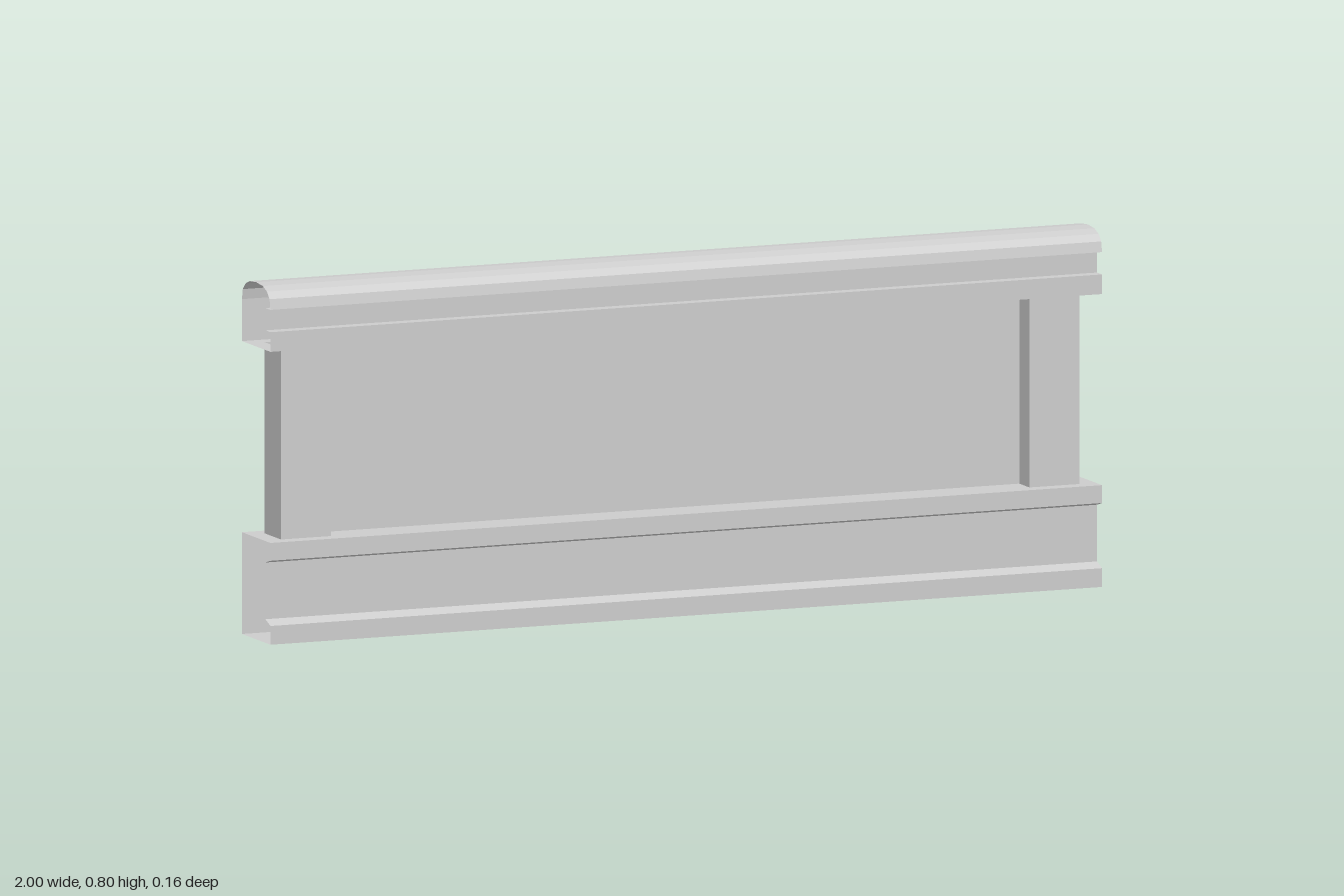
import * as THREE from 'three';

const material = new THREE.MeshStandardMaterial({
  color: 0xcccccc, flatShading: true, side: THREE.DoubleSide,
});
const HALF = 1;            // half length of the rails
const POST_X = 0.9;        // post centre
const POST_W = 0.12, POST_D = 0.092;
const LOW = 0.228, HIGH = 0.656;   // faces of the rails that meet the posts

function addMesh(parent, name, geometry) {
  const mesh = new THREE.Mesh(geometry, material);
  mesh.name = name;
  parent.add(mesh);
  return mesh;
}

// Thin sheet that sweeps an open [z, y] profile along x
function sheet(profile) {
  const pos = [];
  for (let i = 0; i + 1 < profile.length; i++) {
    const [z0, y0] = profile[i], [z1, y1] = profile[i + 1];
    const a = [-HALF, y0, z0], b = [HALF, y0, z0];
    const c = [HALF, y1, z1], d = [-HALF, y1, z1];
    pos.push(...a, ...b, ...c, ...a, ...c, ...d);
  }
  const geometry = new THREE.BufferGeometry();
  geometry.setAttribute('position', new THREE.Float32BufferAttribute(pos, 3));
  geometry.computeVertexNormals();
  return geometry;
}

function rectangle(path, cx, w, d) {
  path.moveTo(cx - w / 2, -d / 2);
  path.lineTo(cx + w / 2, -d / 2);
  path.lineTo(cx + w / 2, d / 2);
  path.lineTo(cx - w / 2, d / 2);
  path.closePath();
  return path;
}

// Flat rail face, open where the hollow posts join it
function plate(y) {
  const shape = rectangle(new THREE.Shape(), 0, HALF * 2, 0.16);
  for (const s of [-1, 1]) {
    shape.holes.push(rectangle(new THREE.Path(), s * POST_X, POST_W, POST_D));
  }
  return new THREE.ShapeGeometry(shape).rotateX(-Math.PI / 2).translate(0, y, 0);
}

// Hollow post: four walls without end caps
function postWalls() {
  const h = HIGH - LOW;
  const box = new THREE.BoxGeometry(POST_W, h, POST_D).toNonIndexed();
  const pos = Array.from(box.attributes.position.array);
  pos.splice(12 * 3, 12 * 3);     // drop top and bottom
  const geometry = new THREE.BufferGeometry();
  geometry.setAttribute('position', new THREE.Float32BufferAttribute(pos, 3));
  geometry.computeVertexNormals();
  return geometry.translate(0, LOW + h / 2, 0);
}

export function createModel() {
  const group = new THREE.Group();
  group.name = 'railingSection';

  // Bottom rail: hollow channel with a shallow groove along the front
  const bottomRail = new THREE.Group();
  bottomRail.name = 'bottomRail';
  addMesh(bottomRail, 'bottomRailChannel', sheet([
    [0.08, LOW], [0.08, 0.188], [0.052, 0.18], [0.052, 0.053],
    [0.08, 0.042], [0.08, 0], [-0.08, 0], [-0.08, LOW],
  ]));
  addMesh(bottomRail, 'bottomRailTop', plate(LOW));
  group.add(bottomRail);

  // Top rail: grooved front, faceted rounded cap, flat back
  const topRail = new THREE.Group();
  topRail.name = 'topRail';
  const profile = [[0.08, HIGH], [0.08, 0.7], [0.052, 0.7], [0.052, 0.75]];
  const steps = 8;
  for (let i = 0; i <= steps; i++) {
    const a = (i / steps) * Math.PI;
    const c = Math.cos(a), s = Math.max(0, Math.sin(a));
    profile.push([
      0.08 * Math.sign(c) * Math.pow(Math.abs(c), 0.8),
      0.75 + 0.05 * Math.pow(s, 0.8),
    ]);
  }
  profile.push([-0.08, HIGH]);
  addMesh(topRail, 'topRailChannel', sheet(profile));
  addMesh(topRail, 'topRailBase', plate(HIGH));
  group.add(topRail);

  // Posts at both ends
  for (const [name, s] of [['leftPost', 1], ['rightPost', -1]]) {
    addMesh(group, name, postWalls()).position.x = s * POST_X;
  }

  // Thin infill panel between the posts
  const panel = new THREE.PlaneGeometry((POST_X - POST_W / 2) * 2, HIGH - LOW);
  addMesh(group, 'panel', panel).position.set(0, (LOW + HIGH) / 2, -0.011);

  return group;
}
